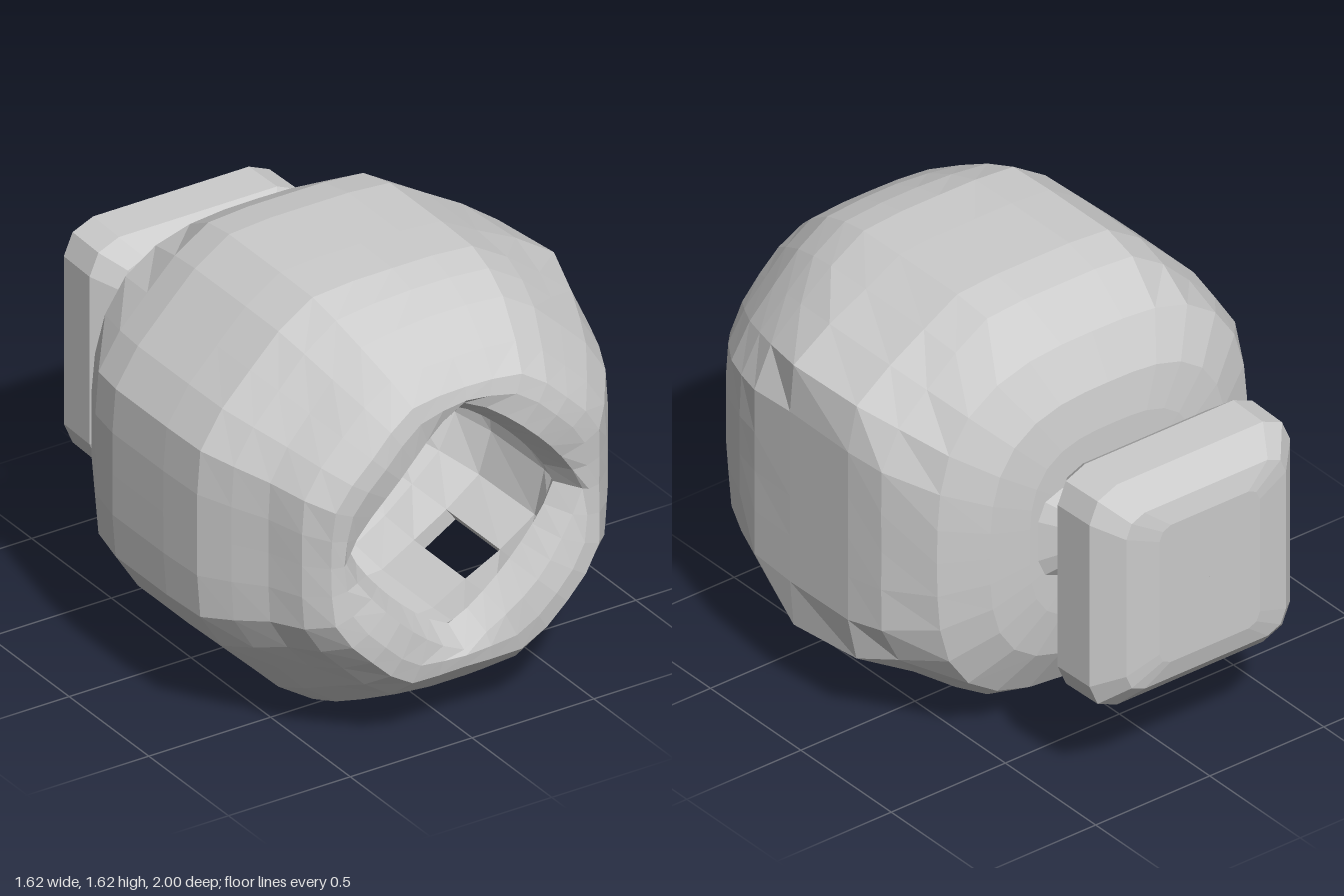
import * as THREE from 'three';

const SEG = 32;
const CY = 0.81; // height of the body axis

const material = () => new THREE.MeshStandardMaterial({ color: 0xcccccc, flatShading: true });

// Skins a list of equal rings; cells listed in skip ("row,col") are left open, extra quads are added
function loft(name, rings, skip = [], extra = []) {
  const n = rings[0].length;
  const pos = rings.flat().flatMap((p) => [p.x, p.y, p.z]);
  const index = [];
  const quad = (a, b, c, d) => index.push(a, b, c, a, c, d);
  for (let i = 0; i < rings.length - 1; i++) {
    for (let j = 0; j < n; j++) {
      if (skip.includes(`${i},${j}`)) continue;
      const k = (j + 1) % n;
      quad(i * n + j, i * n + k, (i + 1) * n + k, (i + 1) * n + j);
    }
  }
  extra.forEach((q) => quad(...q));
  const geo = new THREE.BufferGeometry();
  geo.setAttribute('position', new THREE.Float32BufferAttribute(pos, 3));
  geo.setIndex(index);
  geo.computeVertexNormals();
  const mesh = new THREE.Mesh(geo, material());
  mesh.name = name;
  return mesh;
}

// Cross-section radii for a unit half-width: softened octagon and superellipse
function octagon(c, s) {
  const q = 24;
  return Math.pow(Math.max(c, s) ** q + ((c + s) / 1.455) ** q, -1 / q);
}
const superellipse = (c, s, p) => Math.pow(c ** p + s ** p, -1 / p);
const bell = (v, centre, width) => Math.exp(-(((v - centre) / width) ** 2));

// Hollow body: outside from back to front, over the lip, then the inside to the back
function makeBody() {
  // [z, half width / 0.81, diamond blend]
  const profile = [
    [-0.47, 0.001, 0], [-0.47, 0.22, 0], [-0.465, 0.45, 0], [-0.44, 0.64, 0],
    [-0.35, 0.84, 0], [-0.17, 0.965, 0], [-0.02, 1, 0], [0.3, 1, 0],
    [0.5, 0.995, 0], [0.62, 0.96, 0], [0.74, 0.9, 0], [0.88, 0.78, 0],
    [0.955, 0.68, 0], [0.965, 0.62, 0.2], [0.95, 0.6, 1], [0.85, 0.53, 1],
    [0.75, 0.63, 0.6], [0.6, 0.83, 0], [0.5, 0.88, 0], [0.3, 0.9, 0],
    [-0.02, 0.9, 0], [-0.17, 0.86, 0], [-0.3, 0.7, 0], [-0.35, 0.45, 0], [-0.36, 0.001, 0],
  ];
  const rings = profile.map(([z, k, blend]) =>
    Array.from({ length: SEG }, (_, j) => {
      const a = (j / SEG) * Math.PI * 2;
      const c = Math.abs(Math.cos(a)), s = Math.abs(Math.sin(a));
      // squarer towards the back, diamond at the mouth
      const section = z < -0.2 ? superellipse(c, s, 3) : octagon(c, s);
      let r = 0.81 * k * THREE.MathUtils.lerp(section, superellipse(c, s, 1.28), blend);
      // left side has fuller corners, right side is pinched behind the lip
      if (Math.cos(a) > 0) r *= 1 + 0.15 * bell(Math.atan2(s, c), 0.62, 0.24) * bell(z, 0.18, 0.3);
      else r *= 1 - 0.09 * c * bell(z, 0.72, 0.13);
      const x = THREE.MathUtils.clamp(r * Math.cos(a), -0.81, 0.81);
      const y = THREE.MathUtils.clamp(r * Math.sin(a), -CY, CY);
      // the lip bulges forward between its four low points
      const lip = z > 0.94 ? 0.03 * Math.sin(2 * a) ** 2 : 0;
      return new THREE.Vector3(x, CY + y, z + lip);
    })
  );

  // One small sunken hole low on each side, with walls through the shell
  const out = 6, inn = 19, skip = [], walls = [];
  for (const j of [20, 27]) {
    skip.push(`${out},${j}`, `${inn},${j}`);
    const at = (row, col) => row * SEG + col;
    const o = [at(out, j), at(out, j + 1), at(out + 1, j + 1), at(out + 1, j)];
    const q = [at(inn + 1, j), at(inn + 1, j + 1), at(inn, j + 1), at(inn, j)];
    for (const v of o) {
      const p = rings[Math.floor(v / SEG)][v % SEG];
      p.x *= 0.96;
      p.y = CY + (p.y - CY) * 0.98;
    }
    for (let e = 0; e < 4; e++) {
      const f = (e + 1) % 4;
      walls.push([o[e], o[f], q[f], q[e]]);
    }
  }
  return loft('hollowBody', rings, skip, walls);
}

// Block of rounded-square sections: rows of [z, half width, half height, corner cut]
function makeBlock(name, cx, cy, rows) {
  const rings = rows.map(([z, w, h, c]) => {
    const pts = [];
    for (const [sx, sy, flip] of [[1, 1, 0], [-1, 1, 1], [-1, -1, 0], [1, -1, 1]]) {
      const corner = [[w, h - c], [w - c * 0.3, h - c * 0.3], [w - c, h]];
      if (flip) corner.reverse();
      corner.forEach(([x, y]) => pts.push(new THREE.Vector3(cx + sx * x, cy + sy * y, z)));
    }
    return pts;
  });
  return loft(name, rings);
}

export function createModel() {
  const group = new THREE.Group();
  group.name = 'hollowPot';
  group.add(makeBody());

  // Block behind the body
  group.add(makeBlock('rearBlock', 0, 0.815, [
    [-1, 0.001, 0.001, 0], [-1, 0.22, 0.28, 0.05], [-0.98, 0.35, 0.36, 0.08],
    [-0.89, 0.44, 0.45, 0.12], [-0.72, 0.445, 0.45, 0.12], [-0.64, 0.37, 0.39, 0.1],
    [-0.61, 0.26, 0.26, 0.07], [-0.6, 0.001, 0.001, 0],
  ]));

  // Pinched neck joining block and body
  group.add(makeBlock('neck', 0.08, 0.82, [
    [-0.63, 0.25, 0.2, 0.12], [-0.6, 0.22, 0.16, 0.1], [-0.535, 0.15, 0.1, 0.06],
    [-0.465, 0.25, 0.18, 0.1], [-0.44, 0.26, 0.19, 0.1],
  ]));
  return group;
}
